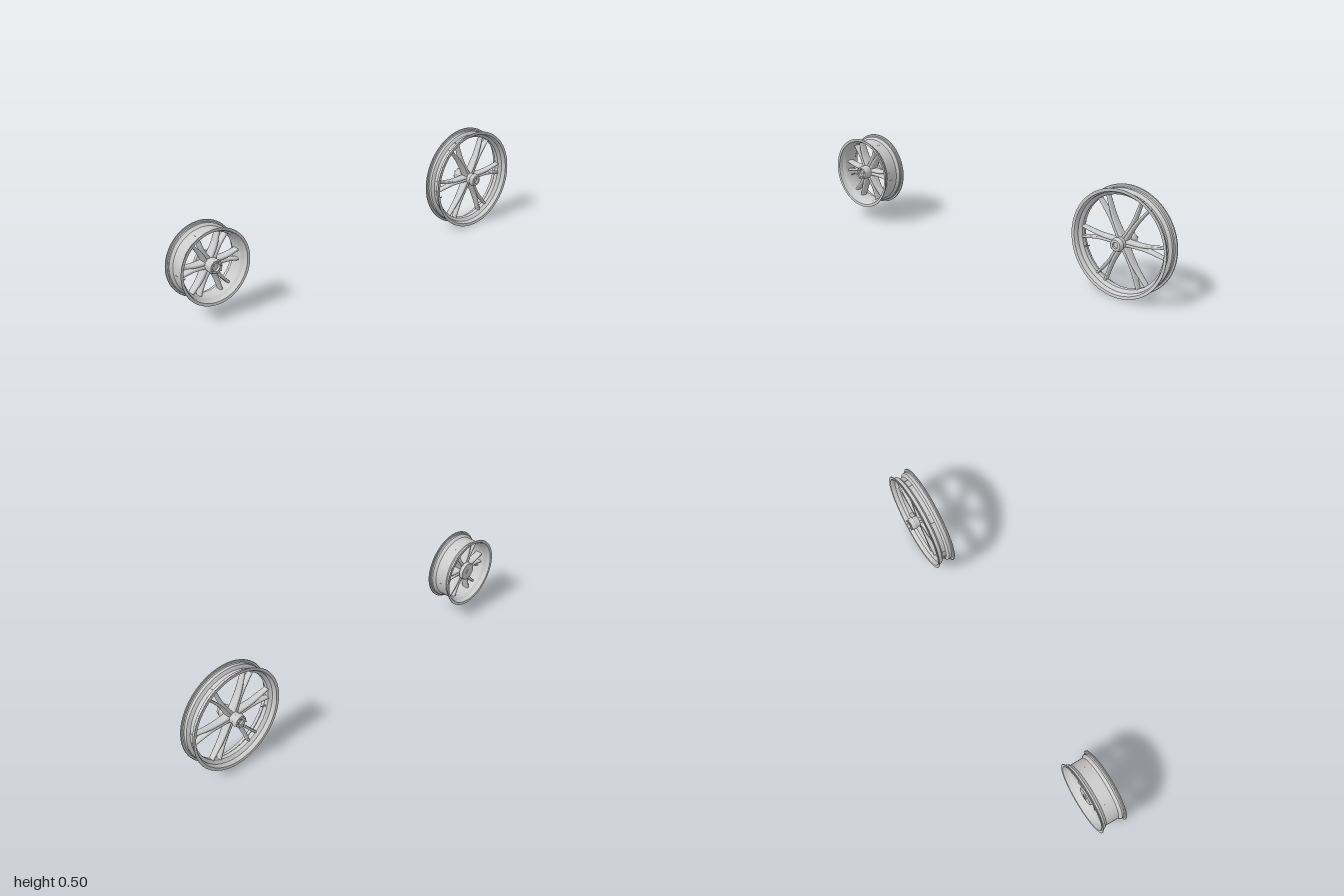
import * as THREE from 'three';
import { toCreasedNormals } from 'three/addons/utils/BufferGeometryUtils.js';

const metal = new THREE.MeshStandardMaterial({ color: 0xcccccc });
metal.name = 'cast grey metal';

function add(parent, geometry, name) {
  const mesh = new THREE.Mesh(geometry, metal);
  mesh.name = name;
  parent.add(mesh);
  return mesh;
}

// Revolves [radius, z] points around the z axle; points run from -z to +z on the outside
function turned(points, segments = 72) {
  const g = new THREE.LatheGeometry(points.map(([r, z]) => new THREE.Vector2(r, z)), segments);
  g.rotateX(Math.PI / 2);
  return toCreasedNormals(g, 0.5);
}

// Closed rim section made by mirroring the outer and inner half profiles
function rimGeometry(outer, inner) {
  const flip = (list) => list.map(([r, z]) => [r, -z]).reverse();
  const loop = [...flip(outer), ...outer, ...[...inner].reverse(), ...inner.map(([r, z]) => [r, -z])];
  return turned([...loop, loop[0]], 96);
}

// Spoke arm: oval sections swept along a curve, tapering in width and depth
function armGeometry(path, side, width, depth) {
  const curve = new THREE.CatmullRomCurve3(path.map(([x, y]) => new THREE.Vector3(x, y * side, 0)));
  const rows = 14, cols = 12, pos = [], index = [];
  for (let i = 0; i <= rows; i++) {
    const t = i / rows, p = curve.getPoint(t), d = curve.getTangent(t);
    const w = THREE.MathUtils.lerp(width[0], width[1], t) / 2;
    const h = THREE.MathUtils.lerp(depth[0], depth[1], t) / 2;
    for (let j = 0; j < cols; j++) {
      const a = (j / cols) * Math.PI * 2, c = Math.cos(a), s = Math.sin(a);
      const u = w * Math.sign(c) * Math.sqrt(Math.abs(c)), v = h * Math.sign(s) * Math.sqrt(Math.abs(s));
      pos.push(p.x - d.y * u, p.y + d.x * u, v);
      if (i < rows) {
        const k = i * cols + j, n = i * cols + ((j + 1) % cols);
        index.push(k, n, k + cols, n, n + cols, k + cols);
      }
    }
  }
  const g = new THREE.BufferGeometry();
  g.setAttribute('position', new THREE.Float32BufferAttribute(pos, 3));
  g.setIndex(index);
  g.computeVertexNormals();
  return g;
}

function makeWheel(name, o) {
  const wheel = new THREE.Group();
  wheel.name = name;
  add(wheel, rimGeometry(o.outer, o.inner), 'rim');
  add(wheel, turned(o.hub, 48), 'hub');

  // Six forked spokes
  const arms = [1, -1].map((s) => armGeometry(o.path, s, o.width, o.depth));
  for (let i = 0; i < 6; i++) {
    const spoke = new THREE.Group();
    spoke.name = 'spoke';
    spoke.rotation.z = (i * Math.PI) / 3;
    arms.forEach((g) => add(spoke, g, 'spokeArm'));
    wheel.add(spoke);
  }

  // Bolt circle on the disc side of the hub
  const bolt = new THREE.CylinderGeometry(0.0035, 0.0035, 0.012, 10).rotateX(Math.PI / 2);
  for (let i = 0; i < 6; i++) {
    const a = (i * Math.PI) / 3 + 0.3;
    add(wheel, bolt, 'hubBolt').position.set(Math.cos(a) * 0.024, Math.sin(a) * 0.024, o.boltZ);
  }

  // Valve stem pointing from the rim to the axle
  const stem = new THREE.Group();
  stem.name = 'valveStem';
  stem.rotation.z = Math.PI + 0.33;
  const r = o.inner[0][0];
  add(stem, new THREE.CylinderGeometry(0.0025, 0.0025, 0.026, 10).rotateZ(Math.PI / 2), 'valveTube').position.x = r - 0.012;
  add(stem, new THREE.CylinderGeometry(0.0045, 0.0045, 0.005, 10).rotateZ(Math.PI / 2), 'valveNut').position.x = r - 0.002;
  wheel.add(stem);

  wheel.position.set(o.x, 0.248, 0);
  return wheel;
}

export function createModel() {
  const model = new THREE.Group();
  model.name = 'wheelPair';

  model.add(makeWheel('largeWheel', {
    x: 0.752,
    outer: [[0.221, 0.01], [0.235, 0.019], [0.236, 0.024], [0.234, 0.034], [0.238, 0.038],
      [0.246, 0.039], [0.248, 0.041], [0.2475, 0.044], [0.245, 0.045]],
    inner: [[0.213, 0.01], [0.216, 0.014], [0.227, 0.023], [0.228, 0.034], [0.234, 0.043]],
    hub: [[0, -0.055], [0.012, -0.055], [0.012, -0.065], [0.028, -0.065], [0.028, -0.062], [0.032, -0.045],
      [0.027, -0.032], [0.027, 0.032], [0.032, 0.045], [0.027, 0.061], [0.025, 0.063],
      [0.014, 0.063], [0.014, 0.052], [0, 0.052]],
    path: [[0.018, 0.007], [0.07, 0.006], [0.12, 0.008], [0.17, 0.016], [0.222, 0.026]],
    width: [0.015, 0.011], depth: [0.044, 0.026], boltZ: -0.067,
  }));

  model.add(makeWheel('smallWheel', {
    x: -0.823,
    outer: [[0.156, 0.032], [0.163, 0.041], [0.166, 0.045], [0.165, 0.053], [0.168, 0.057],
      [0.175, 0.058], [0.177, 0.06], [0.1765, 0.063], [0.174, 0.064]],
    inner: [[0.149, 0.03], [0.151, 0.034], [0.159, 0.044], [0.16, 0.054], [0.164, 0.062]],
    hub: [[0, -0.05], [0.012, -0.05], [0.012, -0.046], [0.043, -0.046], [0.045, -0.043], [0.045, -0.028],
      [0.033, -0.022], [0.032, 0.03], [0.034, 0.05], [0.031, 0.062], [0.029, 0.064],
      [0.018, 0.064], [0.018, 0.05], [0, 0.05]],
    path: [[0.022, 0.009], [0.06, 0.008], [0.09, 0.01], [0.12, 0.016], [0.154, 0.024]],
    width: [0.017, 0.012], depth: [0.05, 0.034], boltZ: 0.066,
  }));
  return model;
}
